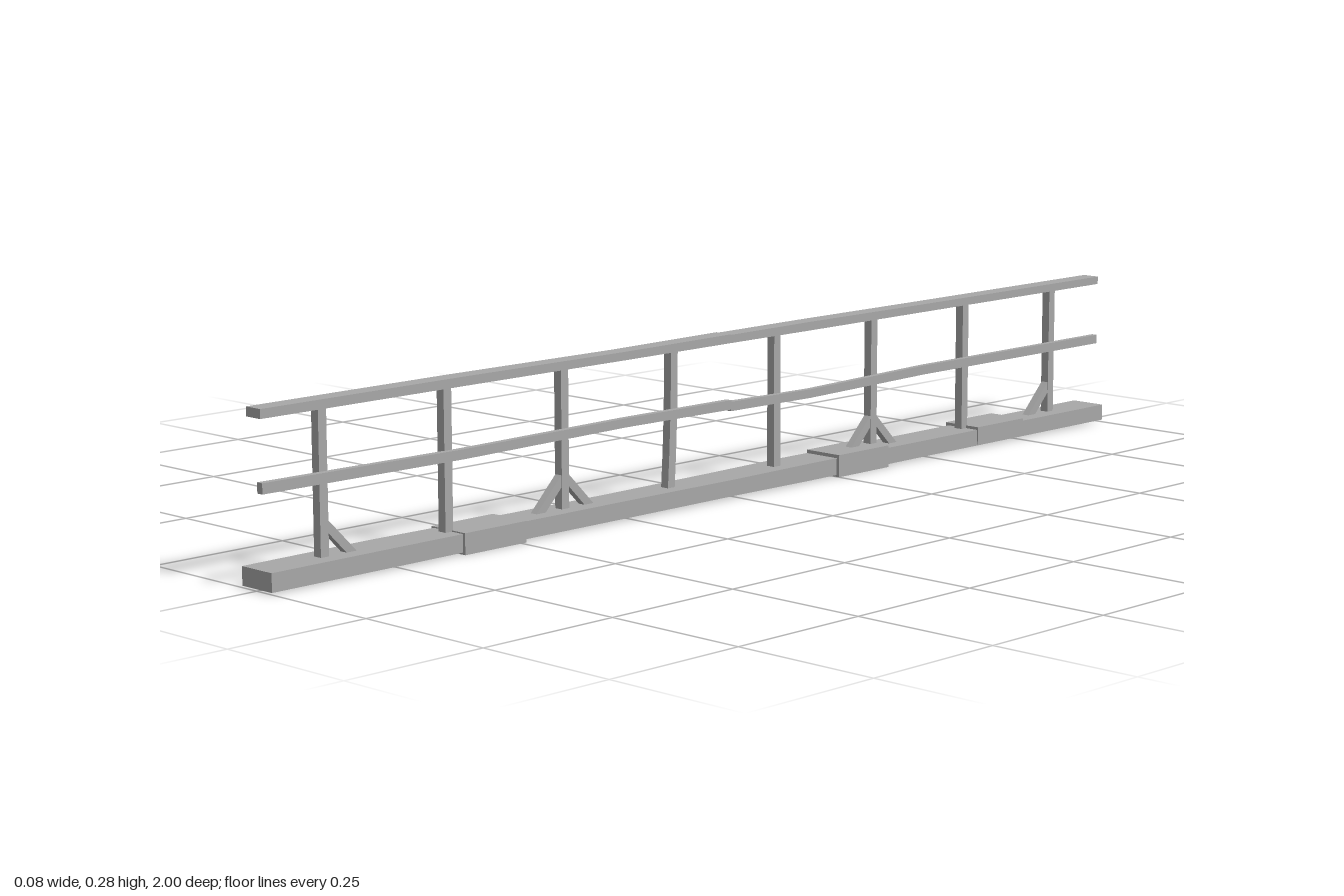
import * as THREE from 'three';

const gray = new THREE.MeshStandardMaterial({ color: 0xa8a8a8 });
gray.name = 'weathered gray';

// Beam along z; each station is [z, xMin, xMax, yMin, yMax]
function beam(name, stations) {
  const n = stations.length - 1;
  let geo = new THREE.BoxGeometry(1, 1, 1, 1, 1, n);
  const p = geo.attributes.position;
  for (let i = 0; i < p.count; i++) {
    const [z, x0, x1, y0, y1] = stations[Math.round((p.getZ(i) + 0.5) * n)];
    p.setXYZ(i, p.getX(i) < 0 ? x0 : x1, p.getY(i) < 0 ? y0 : y1, z);
  }
  geo = geo.toNonIndexed();
  geo.computeVertexNormals();
  const mesh = new THREE.Mesh(geo, gray);
  mesh.name = name;
  return mesh;
}

// Upright post whose lower half may lean slightly along z
function post(z, lean) {
  let geo = new THREE.BoxGeometry(0.016, 0.232, 0.016, 1, 4, 1);
  geo.translate(0, 0.148, z);
  const p = geo.attributes.position;
  for (let i = 0; i < p.count; i++) {
    const t = (0.264 - p.getY(i)) / 0.232;
    p.setZ(i, p.getZ(i) + lean * t * t);
  }
  geo = geo.toNonIndexed();
  geo.computeVertexNormals();
  const mesh = new THREE.Mesh(geo, gray);
  mesh.name = 'post';
  return mesh;
}

// Diagonal foot brace with its ends cut level with the deck and the post
function brace(z, dir) {
  const s = new THREE.Shape();
  [[0.046, 0.03], [0.066, 0.03], [0.005, 0.092], [0.005, 0.072]].forEach(([a, y], i) =>
    i ? s.lineTo(a * dir, y) : s.moveTo(a * dir, y));
  const geo = new THREE.ExtrudeGeometry(s, { depth: 0.014, bevelEnabled: false });
  geo.translate(0, 0, -0.007);
  geo.rotateY(-Math.PI / 2);
  geo.translate(0, 0, z);
  const mesh = new THREE.Mesh(geo, gray);
  mesh.name = 'brace';
  return mesh;
}

export function createModel() {
  const g = new THREE.Group();
  g.name = 'railing';

  // Long base plank, slightly uneven along its length
  g.add(beam('basePlank', [
    [-1, -0.033, 0.034, 0.004, 0.033], [-0.5, -0.033, 0.034, 0.004, 0.033],
    [-0.18, -0.038, 0.033, 0.003, 0.033], [0, -0.036, 0.033, 0.004, 0.032],
    [0.25, -0.029, 0.034, 0.004, 0.033], [0.5, -0.031, 0.034, 0.004, 0.033],
    [0.75, -0.038, 0.034, 0.003, 0.033], [1, -0.034, 0.036, 0.003, 0.033],
  ]));

  // Thicker plank sections
  [[-0.76, -0.63, -0.04, 0.036, 0.006, 0.038],
    [-0.38, -0.25, -0.037, 0.039, 0.0, 0.039],
    [0.49, 0.62, -0.04, 0.039, 0.0, 0.035]].forEach(([a, b, ...r]) =>
    g.add(beam('plankSection', [[a, ...r], [b, ...r]])));

  // Posts, with braces on every second one
  for (let i = 0; i < 8; i++) {
    const z = -0.875 + i * 0.25;
    g.add(post(z, i === 4 ? 0.008 : 0));
  }
  for (const s of [-1, 1]) {
    g.add(brace(s * 0.375, 1), brace(s * 0.375, -1));
  }
  g.add(brace(0.875, -1), brace(-0.875, 1));

  // Top rail in two lengths meeting at the middle
  g.add(beam('topRailBack', [
    [-1, -0.015, 0.018, 0.262, 0.276], [-0.5, -0.015, 0.018, 0.262, 0.276],
    [-0.2, -0.013, 0.019, 0.262, 0.277], [0, -0.015, 0.018, 0.262, 0.276]]));
  g.add(beam('topRailFront', [
    [0, -0.016, 0.018, 0.262, 0.277], [0.25, -0.013, 0.019, 0.262, 0.276],
    [0.6, -0.016, 0.017, 0.262, 0.277], [1, -0.015, 0.018, 0.262, 0.277]]));

  // Middle rail with a slight sag
  g.add(beam('middleRailBack', [
    [-1, 0.007, 0.018, 0.149, 0.165], [-0.5, 0.007, 0.018, 0.149, 0.165],
    [-0.2, 0.007, 0.018, 0.144, 0.159], [0, 0.007, 0.018, 0.146, 0.162]]));
  g.add(beam('middleRailFront', [
    [0, 0.007, 0.019, 0.149, 0.165], [0.25, 0.007, 0.019, 0.151, 0.166],
    [0.6, 0.007, 0.019, 0.147, 0.163], [1, 0.007, 0.019, 0.149, 0.166]]));
  return g;
}
